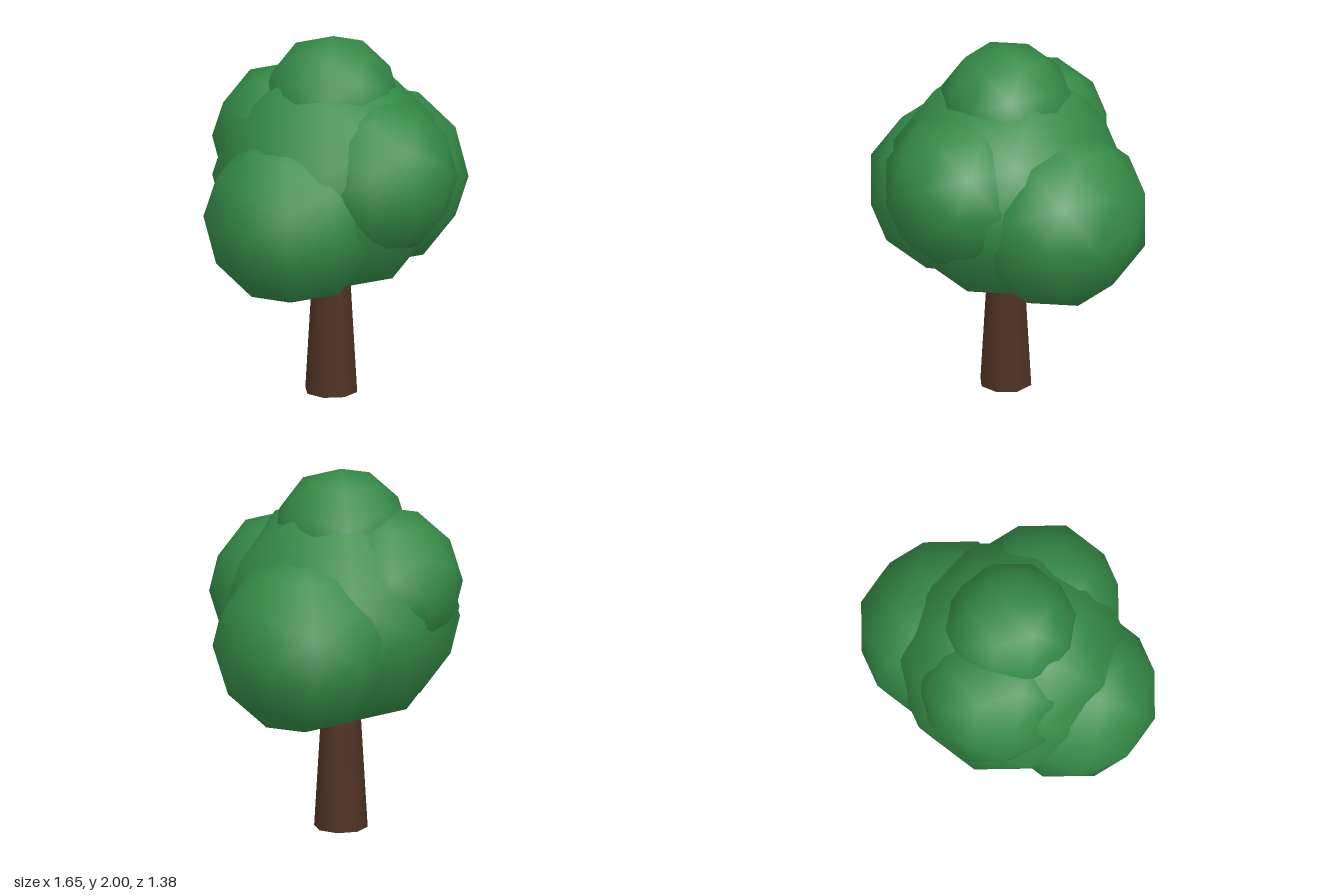
import * as THREE from 'three';

const CENTRE_X = -0.03;
const CENTRE_Z = -0.05;

// Leaf clumps: name, x, y, z, radius
const CLUMPS = [
  ['crownCore', CENTRE_X, 1.21, CENTRE_Z, 0.64],
  ['crownTop', CENTRE_X, 1.63, CENTRE_Z, 0.37],
  ['leftClump', 0.32, 1.12, -0.19, 0.5],
  ['rightClump', -0.35, 1.07, 0.1, 0.48],
  ['frontClump', 0.08, 1.28, 0.25, 0.44],
  ['backClump', -0.16, 1.39, -0.27, 0.42],
];

export function createModel() {
  const tree = new THREE.Group();
  tree.name = 'tree';

  const bark = new THREE.MeshStandardMaterial({ color: 0x4f3222 });
  const leaves = new THREE.MeshStandardMaterial({ color: 0x348a46 });

  // Tapered eight-sided trunk, running up into the crown
  const height = 0.82;
  const trunk = new THREE.Mesh(new THREE.CylinderGeometry(0.096, 0.145, height, 8), bark);
  trunk.name = 'trunk';
  trunk.position.set(CENTRE_X, height / 2, CENTRE_Z);
  tree.add(trunk);

  // Crown of overlapping low-poly, smooth-shaded clumps
  const crown = new THREE.Group();
  crown.name = 'crown';
  for (const [name, x, y, z, radius] of CLUMPS) {
    const clump = new THREE.Mesh(new THREE.IcosahedronGeometry(radius, 1), leaves);
    clump.name = name;
    clump.position.set(x, y, z);
    crown.add(clump);
  }
  tree.add(crown);

  return tree;
}
